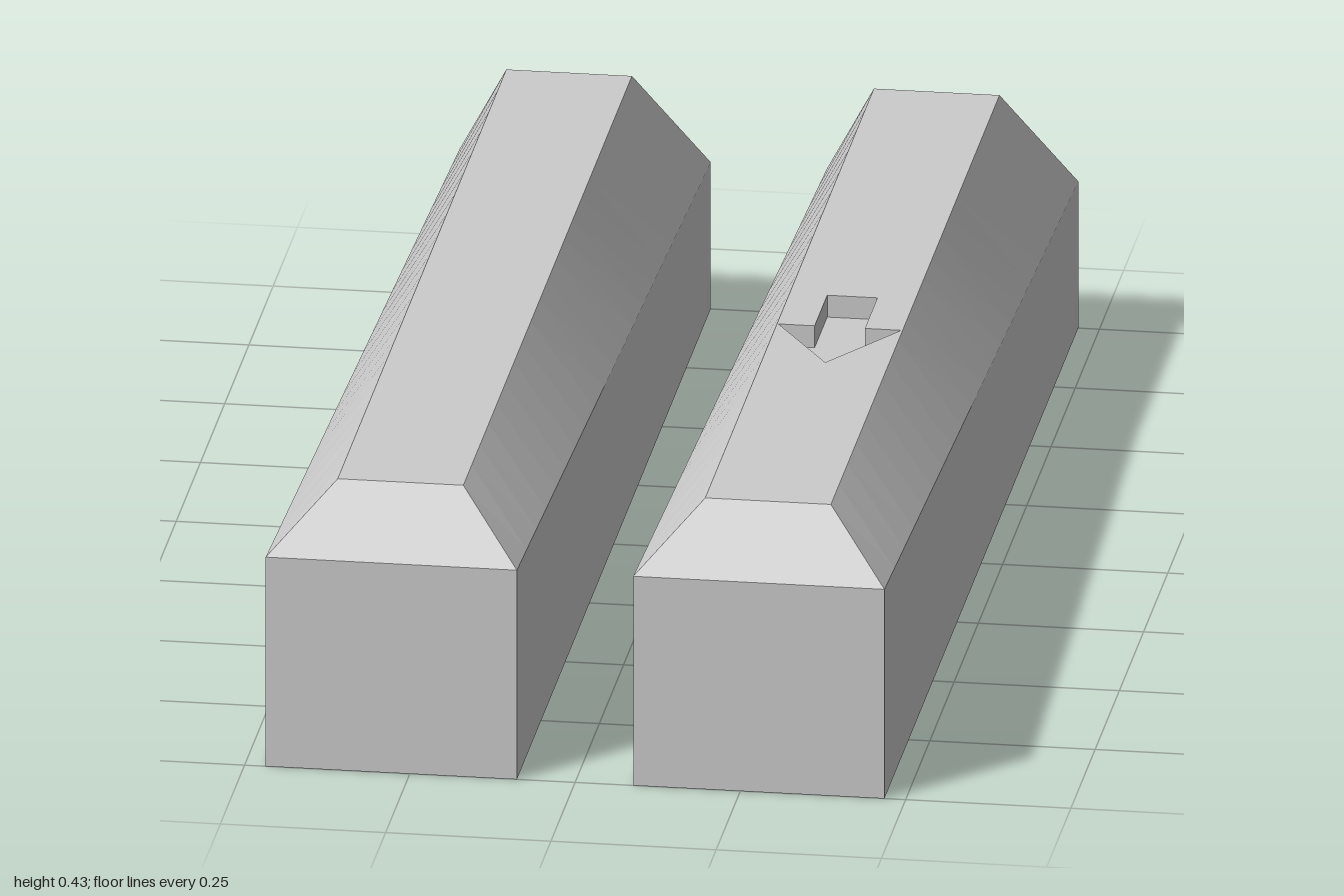
import * as THREE from 'three';

const HALF = 0.19, TOP_HALF = 0.095, TOP_Y = 0.43, CENTRE = 0.278;
const FRONT = 1, BACK = -1, TOP_FRONT = 0.905, TOP_BACK = -0.835;
const SHOULDER_FRONT = 0.335, SHOULDER_BACK = 0.235;
const material = new THREE.MeshStandardMaterial({ color: 0xcccccc, flatShading: true });
const lerp = THREE.MathUtils.lerp;

// Cross-section at t (0 = back, 1 = front): base, shoulder and top on each side
function section(t) {
  const z = lerp(BACK, FRONT, t);
  const topZ = lerp(TOP_BACK, TOP_FRONT, t);
  const shoulder = lerp(SHOULDER_BACK, SHOULDER_FRONT, t);
  return [
    [-TOP_HALF, TOP_Y, topZ], [-HALF, shoulder, z], [-HALF, 0, z],
    [HALF, 0, z], [HALF, shoulder, z], [TOP_HALF, TOP_Y, topZ],
  ];
}

// Block without its top face: sides, underside and bevelled ends
function bodyGeometry(steps = 20) {
  const pos = [];
  const quad = (a, b, c, d) => pos.push(...a, ...b, ...c, ...a, ...c, ...d);
  for (let i = 0; i < steps; i++) {
    const a = section(i / steps), b = section((i + 1) / steps);
    for (let k = 0; k < 5; k++) quad(a[k], a[k + 1], b[k + 1], b[k]);
  }
  const back = section(0), front = section(1);
  for (const k of [0, 1]) {
    quad(front[k], front[k + 1], front[4 - k], front[5 - k]);
    quad(back[5 - k], back[4 - k], back[k + 1], back[k]);
  }
  const geo = new THREE.BufferGeometry();
  geo.setAttribute('position', new THREE.Float32BufferAttribute(pos, 3));
  geo.computeVertexNormals();
  return geo;
}

// Arrow outline as (x, -z), pointing to the front
const arrowPoints = [
  [-0.038, -0.035], [-0.038, -0.165], [-0.093, -0.165], [0, -0.315],
  [0.093, -0.165], [0.038, -0.165], [0.038, -0.035],
].map(([x, y]) => new THREE.Vector2(x, y));

function addMesh(parent, name, geometry) {
  const mesh = new THREE.Mesh(geometry, material);
  mesh.name = name;
  parent.add(mesh);
}

// Flat shape laid horizontally at height y
const flat = (shape, y) =>
  new THREE.ShapeGeometry(shape).rotateX(-Math.PI / 2).translate(0, y, 0);

// Walls of the recess, facing into it
function recessWalls(depth) {
  const pos = [];
  arrowPoints.forEach((p, i) => {
    const q = arrowPoints[(i + 1) % arrowPoints.length];
    const a = [p.x, TOP_Y, -p.y], b = [q.x, TOP_Y, -q.y];
    const c = [q.x, TOP_Y - depth, -q.y], d = [p.x, TOP_Y - depth, -p.y];
    pos.push(...a, ...b, ...c, ...a, ...c, ...d);
  });
  const geo = new THREE.BufferGeometry();
  geo.setAttribute('position', new THREE.Float32BufferAttribute(pos, 3));
  geo.computeVertexNormals();
  return geo;
}

function makeBlock(name, x, withArrow) {
  const block = new THREE.Group();
  block.name = name;
  block.position.x = x;
  addMesh(block, 'blockBody', bodyGeometry());
  const top = new THREE.Shape([
    new THREE.Vector2(-TOP_HALF, -TOP_FRONT), new THREE.Vector2(TOP_HALF, -TOP_FRONT),
    new THREE.Vector2(TOP_HALF, -TOP_BACK), new THREE.Vector2(-TOP_HALF, -TOP_BACK),
  ]);
  if (withArrow) {
    const depth = 0.035;
    top.holes.push(new THREE.Path(arrowPoints));
    addMesh(block, 'arrowRecessFloor', flat(new THREE.Shape(arrowPoints), TOP_Y - depth));
    addMesh(block, 'arrowRecessWalls', recessWalls(depth));
  }
  addMesh(block, 'topFace', flat(top, TOP_Y));
  return block;
}

export function createModel() {
  const model = new THREE.Group();
  model.name = 'pairOfBevelledRails';
  model.add(makeBlock('leftRail', CENTRE, true), makeBlock('rightRail', -CENTRE, false));
  return model;
}
